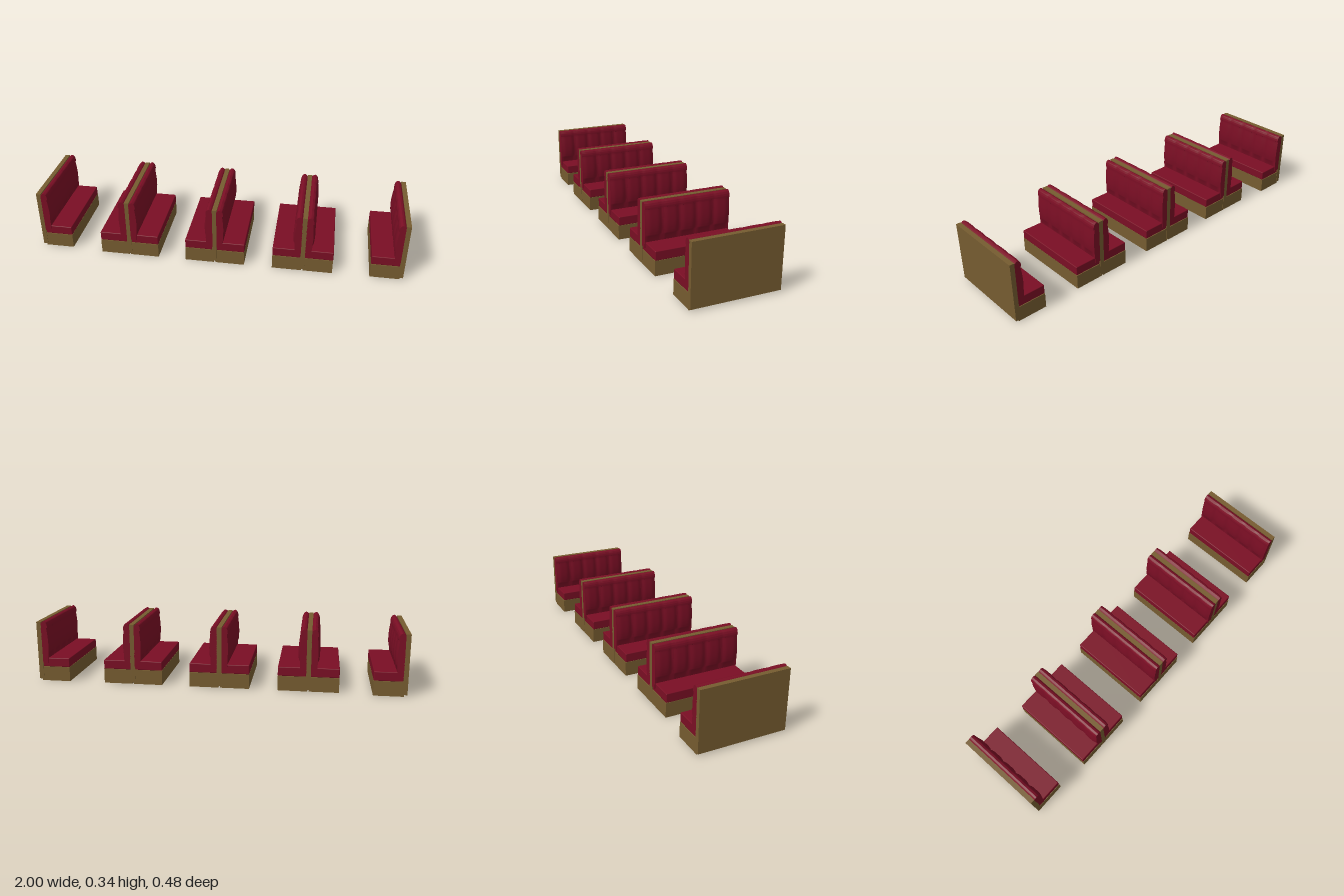
import * as THREE from 'three';
import { toCreasedNormals } from 'three/addons/utils/BufferGeometryUtils.js';
import { RoundedBoxGeometry } from 'three/addons/geometries/RoundedBoxGeometry.js';

const LENGTH = 0.466;
const CHANNELS = 5;

// Padded backrest: side profile swept along z, then pinched at the tufting seams
function backCushionGeometry() {
  const shape = new THREE.Shape();
  shape.moveTo(0.011, 0.1);
  shape.lineTo(0.043, 0.1);
  shape.lineTo(0.047, 0.16);
  shape.lineTo(0.054, 0.17);
  shape.splineThru([
    [0.0565, 0.2], [0.0565, 0.23], [0.054, 0.265], [0.05, 0.298],
  ].map(([x, y]) => new THREE.Vector2(x, y)));
  // rolled top edge
  shape.splineThru([
    [0.049, 0.315], [0.043, 0.33], [0.032, 0.337], [0.021, 0.334], [0.011, 0.324],
  ].map(([x, y]) => new THREE.Vector2(x, y)));
  shape.closePath();
  const geo = new THREE.ExtrudeGeometry(shape, {
    depth: LENGTH, steps: CHANNELS * 10, bevelEnabled: false, curveSegments: 10,
  });
  geo.translate(0, 0, -LENGTH / 2);
  const p = geo.attributes.position;
  for (let i = 0; i < p.count; i++) {
    const x = p.getX(i), y = p.getY(i), z = p.getZ(i);
    if (x < 0.03 || y < 0.165) continue;
    const u = (z / LENGTH + 0.5) * CHANNELS;
    const seam = Math.pow(Math.abs(Math.cos(Math.PI * u)), 8);
    const fade = y > 0.3 ? 0.35 : 1;
    p.setX(i, x - 0.008 * seam * fade);
  }
  return toCreasedNormals(geo, 0.6);
}

export function createModel() {
  const group = new THREE.Group();
  const leather = new THREE.MeshStandardMaterial({ color: 0x7a0e24 });
  leather.name = 'red leather';
  const wood = new THREE.MeshStandardMaterial({ color: 0x765c30 });
  wood.name = 'brown wood';

  const cushionGeo = backCushionGeometry();
  const seatGeo = new RoundedBoxGeometry(0.15, 0.05, 0.458, 2, 0.004);
  const baseGeo = new THREE.BoxGeometry(0.158, 0.08, 0.462);
  const panelGeo = new THREE.BoxGeometry(0.025, 0.323, LENGTH);

  const add = (parent, name, geo, mat, x, y) => {
    const mesh = new THREE.Mesh(geo, mat);
    mesh.name = name;
    mesh.position.set(x, y, 0);
    parent.add(mesh);
  };

  // One side of a booth, facing local +x
  const addBench = (parent, direction) => {
    const bench = new THREE.Group();
    bench.name = direction > 0 ? 'benchFacingLeft' : 'benchFacingRight';
    add(bench, 'base', baseGeo, wood, 0.083, 0.04);
    add(bench, 'seatCushion', seatGeo, leather, 0.0875, 0.105);
    add(bench, 'backCushion', cushionGeo, leather, 0, 0);
    if (direction < 0) bench.rotation.y = Math.PI;
    parent.add(bench);
  };

  // Row of booths: single benches at the ends, back-to-back pairs between
  const booths = [
    { x: -0.9875, z: -0.01, sides: [1] },
    { x: -0.489, z: 0.007, sides: [1, -1] },
    { x: -0.012, z: 0.007, sides: [1, -1] },
    { x: 0.465, z: 0.007, sides: [1, -1] },
    { x: 0.9875, z: 0.004, sides: [-1] },
  ];
  for (const { x, z, sides } of booths) {
    const booth = new THREE.Group();
    booth.name = sides.length > 1 ? 'doubleBooth' : 'endBooth';
    booth.position.set(x, 0, z);
    add(booth, 'backPanel', panelGeo, wood, 0, 0.1715);
    for (const side of sides) addBench(booth, side);
    group.add(booth);
  }
  return group;
}
